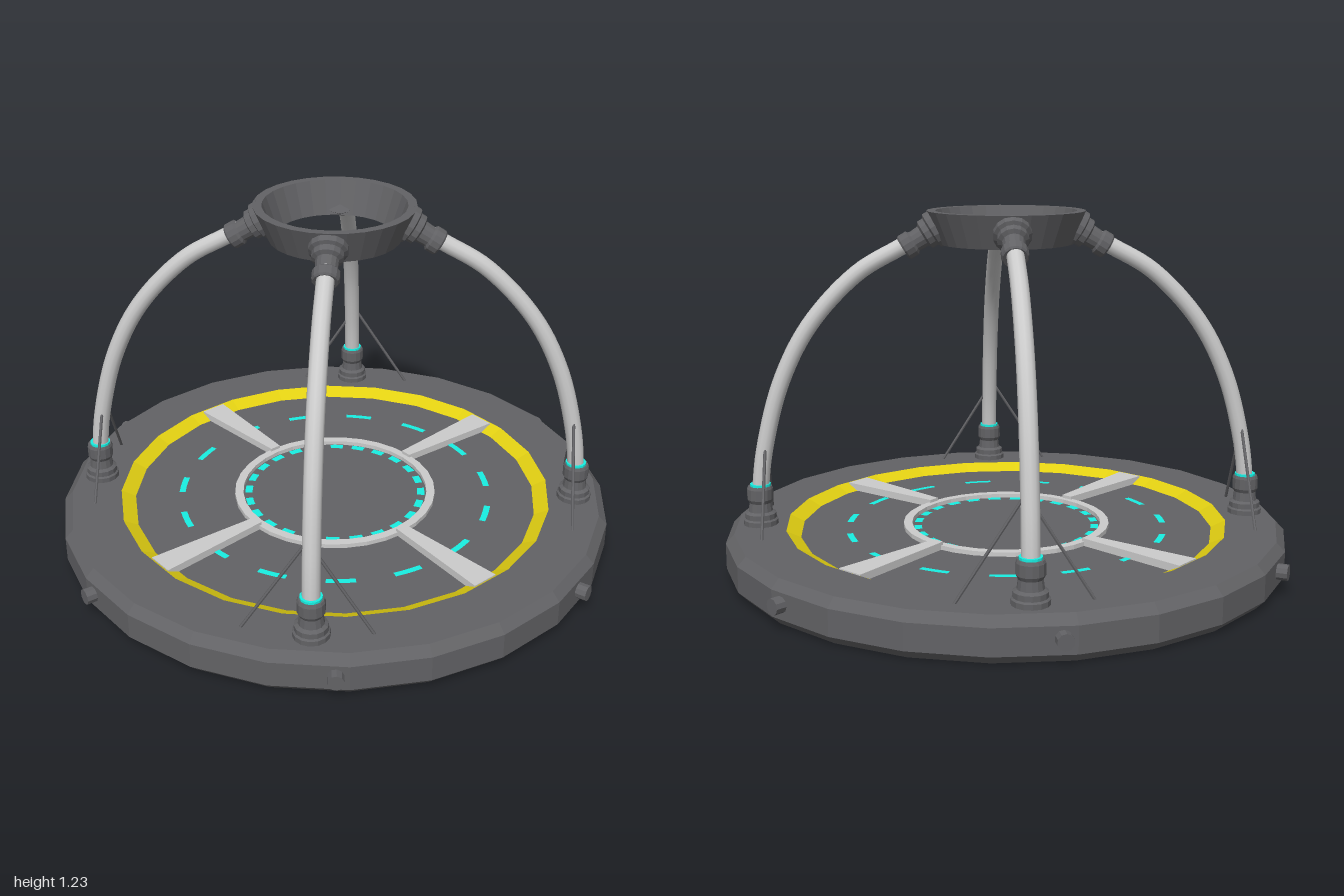
import * as THREE from 'three';

const mat = (color) => new THREE.MeshStandardMaterial({ color, flatShading: true, side: THREE.DoubleSide });
const dark = mat(0x626265);
const light = new THREE.MeshStandardMaterial({ color: 0xcccccc });
const lightFlat = mat(0xcccccc);
const yellow = mat(0xe2d012);
const cyan = mat(0x18efe2);

function mesh(parent, name, geometry, material) {
  const m = new THREE.Mesh(geometry, material);
  m.name = name;
  parent.add(m);
  return m;
}

// Revolved profile given as [radius, y] pairs
function lathe(points, segments, start = 0) {
  return new THREE.LatheGeometry(points.map(([r, y]) => new THREE.Vector2(r, y)), segments, start);
}

// Cylinder running between two points
function rod(parent, name, a, b, radius, sides, material) {
  const dir = b.clone().sub(a);
  const m = mesh(parent, name, new THREE.CylinderGeometry(radius, radius, dir.length(), sides), material);
  m.position.copy(a).add(b).multiplyScalar(0.5);
  m.quaternion.setFromUnitVectors(new THREE.Vector3(0, 1, 0), dir.normalize());
  return m;
}

// Circle of flat arc-shaped markers
function dashes(parent, name, count, radius, width, arc, start, y) {
  for (let i = 0; i < count; i++) {
    const a = start + (i / count) * Math.PI * 2;
    const g = new THREE.RingGeometry(radius - width / 2, radius + width / 2, 3, 1, a - arc / 2, arc);
    g.rotateX(-Math.PI / 2);
    mesh(parent, name, g, cyan).position.y = y;
  }
}

// One arched leg, built towards +z
function makeLeg() {
  const leg = new THREE.Group();
  leg.name = 'leg';
  const v = (x, y, z) => new THREE.Vector3(x, y, z);

  const path = new THREE.CatmullRomCurve3([
    v(0, 0.2, 0.857), v(0, 0.28, 0.854), v(0, 0.42, 0.835), v(0, 0.65, 0.772),
    v(0, 0.845, 0.67), v(0, 1.02, 0.505), v(0, 1.105, 0.36), v(0, 1.15, 0.28),
  ]);
  mesh(leg, 'archTube', new THREE.TubeGeometry(path, 40, 0.029, 12), light);

  // Stepped foot socket with a glowing seal
  const socket = mesh(leg, 'footSocket', lathe([
    [0.06, 0.14], [0.06, 0.165], [0.054, 0.17], [0.054, 0.188], [0.042, 0.195],
    [0.038, 0.225], [0.045, 0.238], [0.045, 0.275], [0.041, 0.284], [0.028, 0.284],
  ], 14), dark);
  socket.position.z = 0.857;
  const seal = mesh(leg, 'footSeal', new THREE.CylinderGeometry(0.036, 0.036, 0.012, 14), cyan);
  seal.position.set(0, 0.286, 0.855);

  // Stepped collar joining the tube to the crown ring
  const collar = mesh(leg, 'crownCollar', lathe([
    [0, 0], [0.064, 0], [0.064, 0.028], [0.052, 0.034], [0.052, 0.055], [0.038, 0.062],
    [0.036, 0.098], [0.045, 0.106], [0.045, 0.136], [0.04, 0.142], [0.028, 0.142],
  ], 14), dark);
  collar.position.set(0, 1.175, 0.228);
  collar.quaternion.setFromUnitVectors(v(0, 1, 0), v(0, -0.52, 0.854).normalize());

  // Pair of thin braces
  for (const s of [-1, 1]) {
    rod(leg, 'brace', v(-0.015 + s * 0.208, 0.145, 0.838), v(-0.012 + s * 0.008, 0.46, 0.832), 0.0055, 6, dark);
  }
  return leg;
}

export function createModel() {
  const model = new THREE.Group();
  model.name = 'archedPlatform';
  const body = new THREE.Group();
  body.name = 'platform';
  body.position.set(-0.003, 0, 0.008);
  model.add(body);

  // Bevelled base with a shallow recessed floor
  const sides = 24, turn = Math.PI / sides, floorY = 0.123, rimY = 0.148;
  mesh(body, 'baseRim', lathe([
    [0, 0], [0.945, 0], [0.974, 0.03], [0.974, 0.118], [0.945, rimY], [0.77, rimY],
  ], sides, turn), dark);
  mesh(body, 'warningBand', lathe([[0.77, rimY], [0.72, floorY]], sides, turn), yellow);
  mesh(body, 'floor', lathe([[0.72, floorY], [0, floorY]], sides, turn), dark);

  // Raised inner ring and floor markers
  mesh(body, 'innerRing', lathe([
    [0.362, floorY - 0.005], [0.362, 0.138], [0.332, 0.138], [0.332, floorY - 0.005],
  ], 32), lightFlat);
  dashes(body, 'outerMarker', 15, 0.553, 0.022, 0.18, Math.PI / 2 - 0.09, floorY + 0.003);
  dashes(body, 'innerMarker', 24, 0.312, 0.026, 0.15, 0.06, floorY + 0.003);

  // Tapered spokes on the diagonals
  const wedge = new THREE.Shape([
    new THREE.Vector2(-0.02, 0.35), new THREE.Vector2(0.02, 0.35),
    new THREE.Vector2(0.048, 0.757), new THREE.Vector2(-0.048, 0.757),
  ]);
  const spokeGeo = new THREE.ExtrudeGeometry(wedge, { depth: 0.03, bevelEnabled: false });
  spokeGeo.rotateX(-Math.PI / 2);
  for (let i = 0; i < 4; i++) {
    const spoke = mesh(body, 'spoke', spokeGeo, lightFlat);
    spoke.position.y = rimY - 0.029;
    spoke.rotation.y = Math.PI / 4 + i * Math.PI / 2;
  }

  // Studs around the rim, angles in degrees from +x towards +z
  for (const deg of [85, 29, -40, -95, -152, 140]) {
    const a = THREE.MathUtils.degToRad(deg);
    const at = (r) => new THREE.Vector3(Math.cos(a) * r, 0.08, Math.sin(a) * r);
    rod(body, 'rimStud', at(0.92), at(1.002), 0.027, 10, dark);
  }

  // Arched legs
  for (let i = 0; i < 4; i++) {
    const leg = makeLeg();
    leg.rotation.y = i * Math.PI / 2;
    body.add(leg);
  }

  // Flared crown ring
  mesh(body, 'crownRing', lathe([
    [0.222, 1.115], [0.27, 1.228], [0.24, 1.228], [0.2, 1.115], [0.222, 1.115],
  ], 28), dark);

  return model;
}
